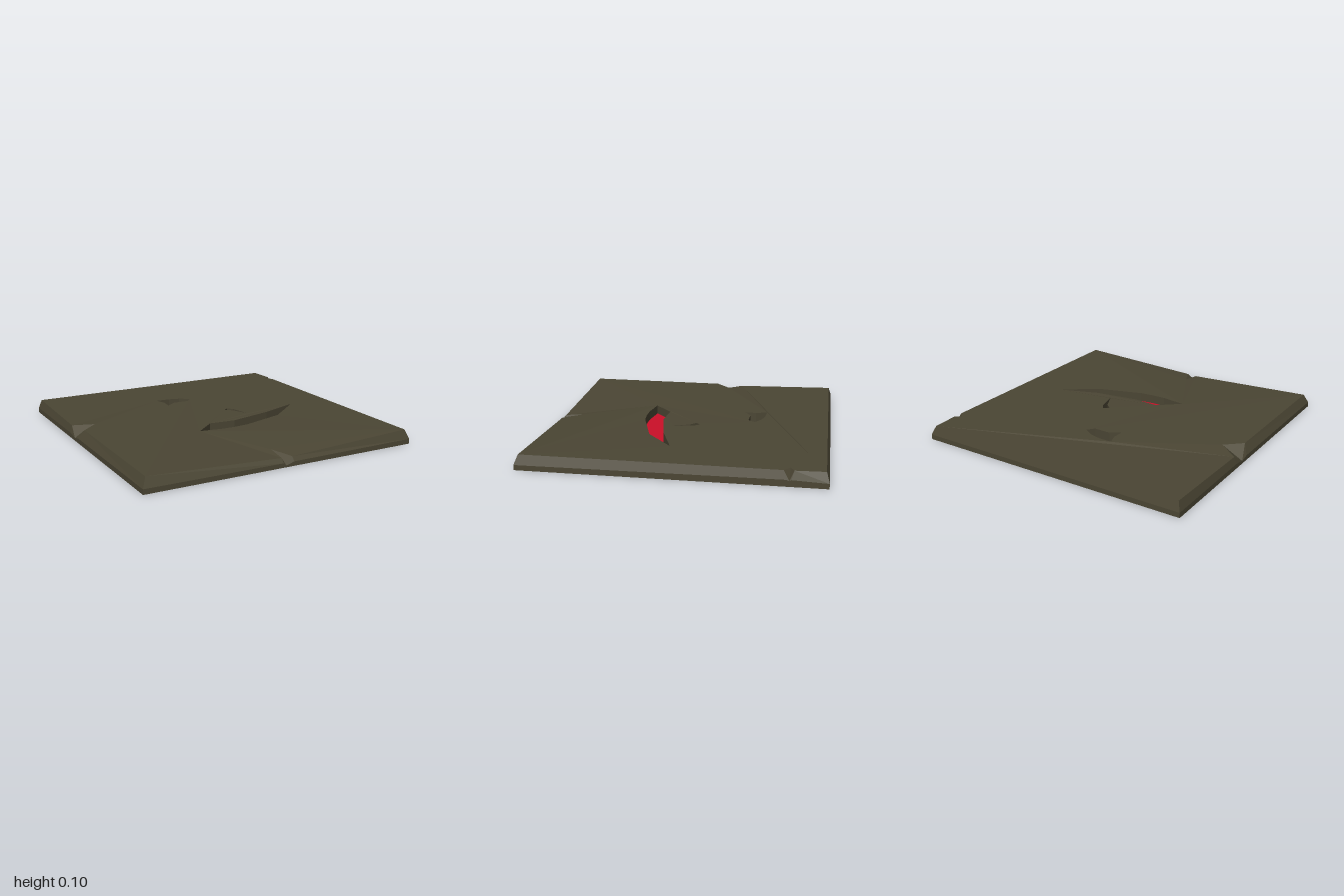
import * as THREE from 'three';

const FLOOR = 0.03; // height of the coloured floor inside the cut-outs

// Rim of the slab, anticlockwise from above: top point [x, y, z], then the
// outer point below it. 'tip' marks the inner end of a chipped notch.
const rim = [
  { top: [-0.97, 0.1, 0.97], out: [-1, 0.035, 1] },
  { top: [-0.03, 0.058, 0.975], out: [-0.03, 0.03, 1] },
  { top: [-0.02, 0.073, 0.83], out: [-0.01, 0.012, 1], tip: true },
  { top: [0.045, 0.06, 0.98], out: [0.05, 0.03, 1] },
  { top: [0.975, 0.1, 0.975], out: [1, 0.035, 1] },
  { top: [0.98, 0.1, -0.72], out: [1, 0.045, -0.74] },
  { top: [0.93, 0.1, -0.76], out: [1, 0.036, -0.757], tip: true },
  { top: [0.98, 0.1, -0.785], out: [1, 0.045, -0.77] },
  { top: [0.97, 0.1, -0.98], out: [1, 0.035, -1] },
  { top: [-0.98, 0.1, -0.98], out: [-1, 0.035, -1] },
  { top: [-0.985, 0.085, -0.26], out: [-1, 0.035, -0.25] },
  { top: [-0.85, 0.1, -0.165], out: [-1, 0.02, -0.165], tip: true },
  { top: [-0.965, 0.1, -0.06], out: [-1, 0.035, -0.1] },
];

// Cut-outs, clockwise from above, as [x, z]
const cutouts = {
  eye: [[-0.2, -0.53], [-0.1, -0.525], [-0.02, -0.505], [0.05, -0.46], [0.01, -0.41],
    [-0.11, -0.415], [-0.18, -0.365], [-0.175, -0.45]],
  nose: [[0.135, -0.05], [0.17, -0.08], [0.2, -0.04], [0.215, 0.02], [0.235, 0.11], [0.18, -0.01]],
  mouth: [[-0.27, 0.32], [-0.12, 0.19], [0.07, 0.205], [0.38, 0.145], [0.66, 0.045],
    [0.42, 0.235], [0.1, 0.335], [0, 0.345], [-0.1, 0.345]],
};

const flat = (pts) => pts.map(([x, , z]) => new THREE.Vector2(x, -z));

function facets(points) {
  const g = new THREE.BufferGeometry();
  g.setAttribute('position', new THREE.Float32BufferAttribute(points.flat(), 3));
  g.computeVertexNormals();
  return g;
}

// Closed band between an upper and a lower loop
function band(upper, lower, isTip = () => false) {
  const tris = [];
  upper.forEach((a, i) => {
    const j = (i + 1) % upper.length;
    const b = upper[j], c = lower[i], d = lower[j];
    if (isTip(i)) tris.push(c, d, b, c, b, a);
    else tris.push(c, d, a, d, b, a);
  });
  return facets(tris);
}

export function createModel() {
  const group = new THREE.Group();
  const stone = new THREE.MeshStandardMaterial({ color: 0x4b4634, flatShading: true });
  const red = new THREE.MeshStandardMaterial({ color: 0xcc0f28 });
  const add = (name, geometry, material) => {
    const mesh = new THREE.Mesh(geometry, material);
    mesh.name = name;
    group.add(mesh);
  };

  const top = rim.map((r) => r.top);
  const outer = rim.map((r) => r.out);
  const holes = Object.values(cutouts).map((pts) =>
    pts.map(([x, z]) => [x, z > 0.15 ? 0.094 : 0.1, z]));

  // Slightly sagging top with the cut-outs
  const all = [top, ...holes].flat();
  const faces = THREE.ShapeUtils.triangulateShape(flat(top), holes.map(flat));
  add('slabTop', facets(faces.flat().map((i) => all[i])), stone);

  // Chipped bevel, sides and underside
  add('chippedBevel', band(top, outer, (i) => rim[i].tip), stone);
  add('slabSides', band(outer, outer.map(([x, , z]) => [x, 0, z])), stone);
  add('slabUnderside', new THREE.PlaneGeometry(2, 2).rotateX(Math.PI / 2), stone);

  // Walls and coloured floor of each cut-out
  Object.keys(cutouts).forEach((name, k) => {
    const loop = holes[k];
    add(name + 'Walls', band(loop, loop.map(([x, , z]) => [x, FLOOR, z])), stone);
    const floor = new THREE.ShapeGeometry(new THREE.Shape(flat(loop)));
    add(name + 'Floor', floor.rotateX(-Math.PI / 2).translate(0, FLOOR, 0), red);
  });

  return group;
}
